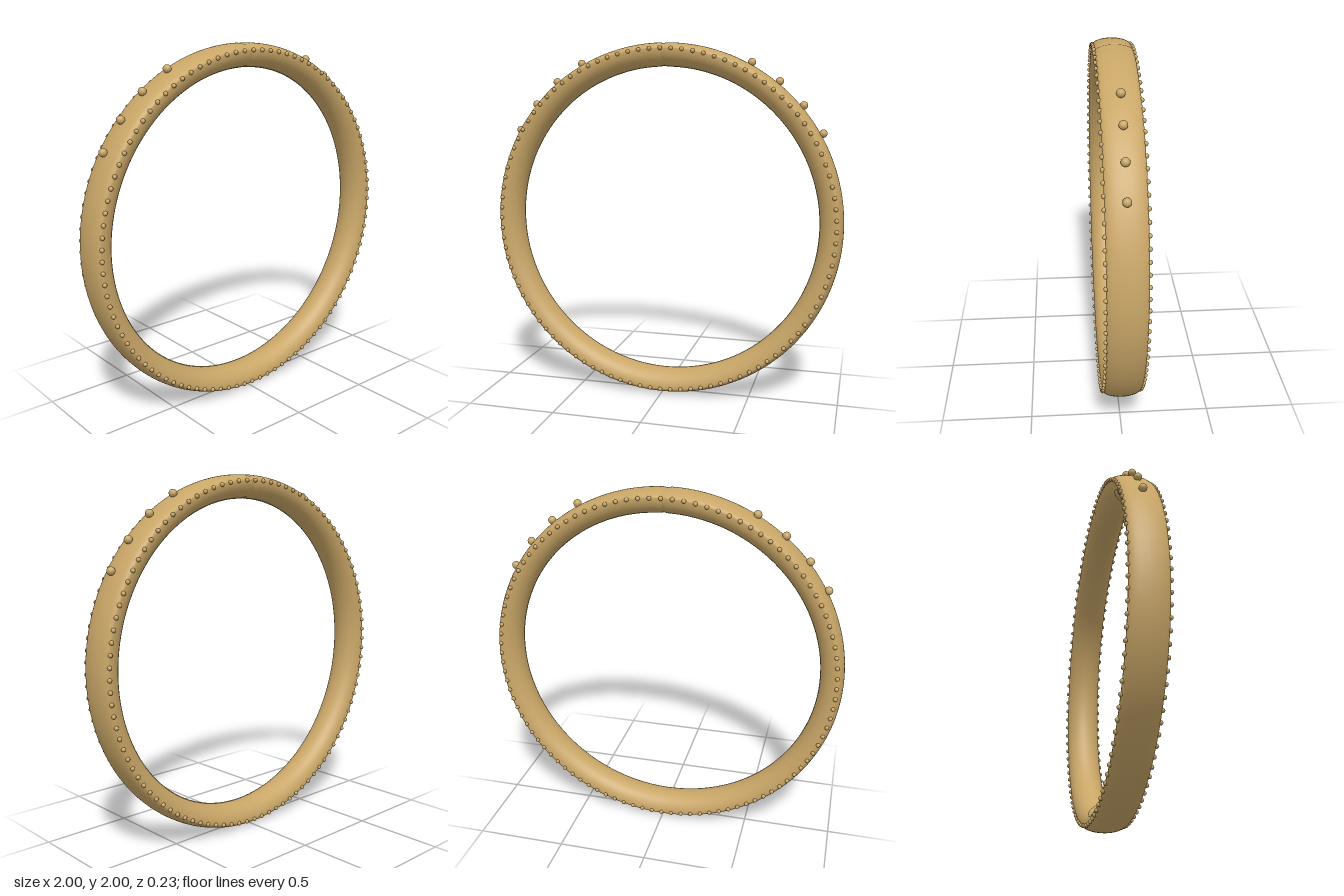
import * as THREE from 'three';

const gold = new THREE.MeshStandardMaterial({ color: 0xc9a667 });
const CENTER_Y = 1;
const EDGE_R = 0.963; // radius where the band is widest
const HALF_WIDTH = 0.1;

// Band: a closed section, gently domed outside and deeper inside, swept round the ring
function bandGeometry() {
  const sides = 40, segments = 256;
  const section = [];
  for (let i = 0; i <= sides; i++) {
    const t = (i / sides) * Math.PI * 2;
    const depth = Math.cos(t) > 0 ? 0.036 : 0.094;
    section.push(new THREE.Vector2(EDGE_R + depth * Math.cos(t), HALF_WIDTH * Math.sin(t)));
  }
  const geo = new THREE.LatheGeometry(section, segments);

  // Fine joint at the top: pull the two meeting sections slightly inwards
  const pos = geo.attributes.position;
  const mid = 0.935, shrink = 0.94;
  for (const column of [0, segments]) {
    section.forEach((p, j) => {
      pos.setXYZ(column * section.length + j, 0, p.y * shrink, mid + (p.x - mid) * shrink);
    });
  }
  geo.computeVertexNormals();
  return geo.rotateX(-Math.PI / 2);
}

// Place a bead at an angle measured from the top of the ring
function addBead(parent, geometry, name, angle, radius, z) {
  const bead = new THREE.Mesh(geometry, gold);
  bead.name = name;
  bead.position.set(Math.sin(angle) * radius, CENTER_Y + Math.cos(angle) * radius, z);
  parent.add(bead);
}

export function createModel() {
  const model = new THREE.Group();
  model.name = 'beadedBangle';

  const band = new THREE.Mesh(bandGeometry(), gold);
  band.name = 'band';
  band.position.y = CENTER_Y;
  model.add(band);

  // Rows of fine beads along the front and back edges
  const smallBead = new THREE.SphereGeometry(0.012, 12, 8);
  const count = 100;
  for (const side of [1, -1]) {
    const row = new THREE.Group();
    row.name = side > 0 ? 'frontBeadRow' : 'backBeadRow';
    for (let i = 0; i < count; i++) {
      addBead(row, smallBead, 'edgeBead', (i / count) * Math.PI * 2, 0.965, side * 0.101);
    }
    model.add(row);
  }

  // Four larger studs on each upper shoulder
  const largeBead = new THREE.SphereGeometry(0.022, 20, 14);
  for (const side of [1, -1]) {
    const studs = new THREE.Group();
    studs.name = side > 0 ? 'leftStuds' : 'rightStuds';
    for (let i = 0; i < 4; i++) {
      addBead(studs, largeBead, 'stud', side * (0.5 + i * 0.18), 1.012, 0);
    }
    model.add(studs);
  }
  return model;
}
